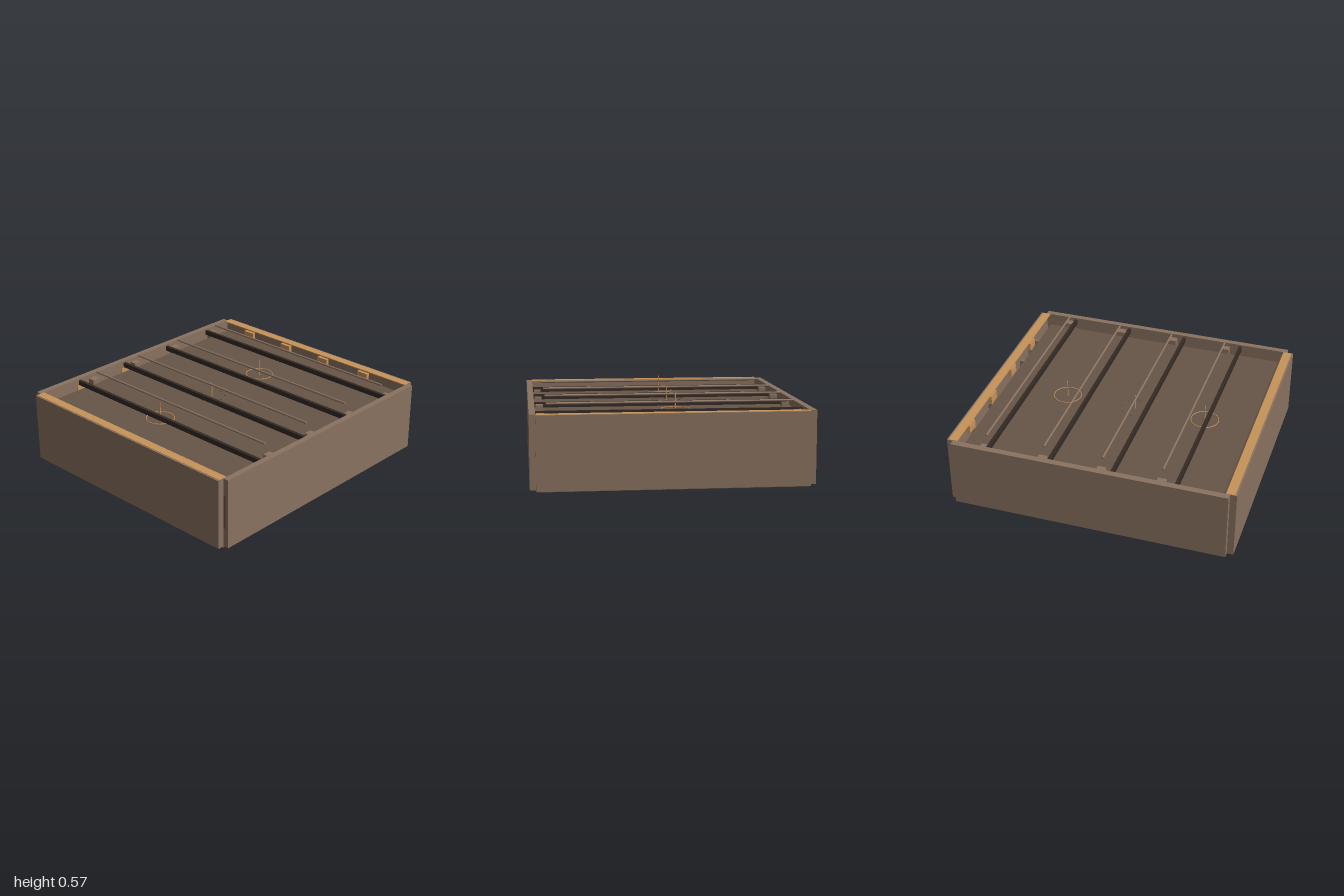
import * as THREE from 'three';

const mat = (color) => new THREE.MeshStandardMaterial({ color });

export function createModel() {
  const model = new THREE.Group();
  const panel = mat(0x8a7260), wood = mat(0xc8935a), soil = mat(0x675548);
  const dark = mat(0x352a24), liner = mat(0x8d807a), underside = mat(0x665146);

  const add = (name, geometry, material, x, y, z) => {
    const mesh = new THREE.Mesh(geometry, material);
    mesh.name = name;
    mesh.position.set(x, y, z);
    model.add(mesh);
    return mesh;
  };
  // Box given by its ranges along each axis
  const box = (name, material, x0, x1, y0, y1, z0, z1) => add(
    name, new THREE.BoxGeometry(x1 - x0, y1 - y0, z1 - z0), material,
    (x0 + x1) / 2, (y0 + y1) / 2, (z0 + z1) / 2);

  // Base, floor liner and the soil bed, which leaves a gap all round
  const soilTop = 0.445;
  box('base', underside, -0.885, 0.885, 0, 0.014, -0.955, 0.955);
  box('floorLiner', liner, -0.885, 0.885, 0.014, 0.02, -0.955, 0.955);
  box('soilBed', soil, -0.835, 0.83, 0.02, soilTop, -0.905, 0.9);

  // Side walls
  box('rightWall', panel, -0.93, -0.886, 0.015, 0.503, -0.957, 0.955);
  box('leftWall', panel, 0.886, 0.928, 0.015, 0.503, -0.957, 0.955);
  box('endPlate', soil, 0.888, 0.906, 0.15, 0.39, 0.954, 0.957);

  // Front and back walls with thin timber cap rails
  for (const s of [-1, 1]) {
    const z = (a, b) => (s > 0 ? [a, b] : [-b, -a]);
    const name = s > 0 ? 'front' : 'back';
    box(name + 'Wall', panel, -0.887, 0.887, 0.012, 0.502, ...z(0.954, 1));
    box(name + 'CapRail', wood, -0.885, 0.885, 0.497, 0.504, ...z(0.927, 0.988));
    // Studs behind the end walls
    for (const x of [-0.6, -0.29, 0.31, 0.48, 0.61])
      box('endStud', panel, x - 0.01, x + 0.01, 0.02, 0.42, ...z(0.905, 0.955));
  }

  // Studs along the side walls
  for (const s of [-1, 1])
    for (const z of [-0.66, -0.06, 0.24, 0.84])
      add('sideStud', new THREE.BoxGeometry(0.05, 0.38, 0.02), panel, s * 0.862, 0.21, z);

  // Timber blocks on the back and right inner faces
  for (const x of [-0.63, -0.25, 0.12, 0.5])
    add('backBlock', new THREE.BoxGeometry(0.09, 0.06, 0.03), wood, x, 0.45, -0.943);
  for (const z of [-0.77, -0.36, 0.16, 0.59])
    add('sideBlock', new THREE.BoxGeometry(0.006, 0.06, 0.07), wood, -0.884, 0.42, z);

  // Four bays: dark cross beam, end blocks and a rod held above
  for (let i = 0; i < 4; i++) {
    const zb = -0.713 + i * 0.437, zr = -0.742 + i * 0.411;
    box('crossBeam', dark, -0.887, 0.887, 0.455, 0.49, zb - 0.011, zb + 0.011);
    const rod = add('rod', new THREE.CylinderGeometry(0.008, 0.008, 1.63, 12), panel, 0, 0.542, zr);
    rod.rotation.z = Math.PI / 2;
    for (const s of [-1, 1])
      add('rodBlock', new THREE.BoxGeometry(0.05, 0.06, 0.06), panel, s * 0.852, 0.45, zr);
  }

  // Three upright pins, each circled by small beads; the outer two have rings
  [[0.575, 0.57], [0.07, 0.552], [-0.435, 0.57]].forEach(([z, top], i) => {
    const h = top - soilTop, middle = i === 1;
    add('pin', new THREE.CylinderGeometry(0.004, 0.004, h, 8), wood, -0.07, soilTop + h / 2, z);
    if (!middle) {
      const ring = add('ring', new THREE.TorusGeometry(0.097, 0.003, 6, 40), wood, -0.07, 0.455, z);
      ring.rotation.x = Math.PI / 2;
    }
    for (let k = 0; k < 8; k++) {
      const a = k * Math.PI / 4;
      add('bead', new THREE.SphereGeometry(0.006, 8, 6), middle ? soil : panel,
        -0.07 + 0.095 * Math.cos(a), 0.452, z + 0.095 * Math.sin(a));
    }
  });

  return model;
}
